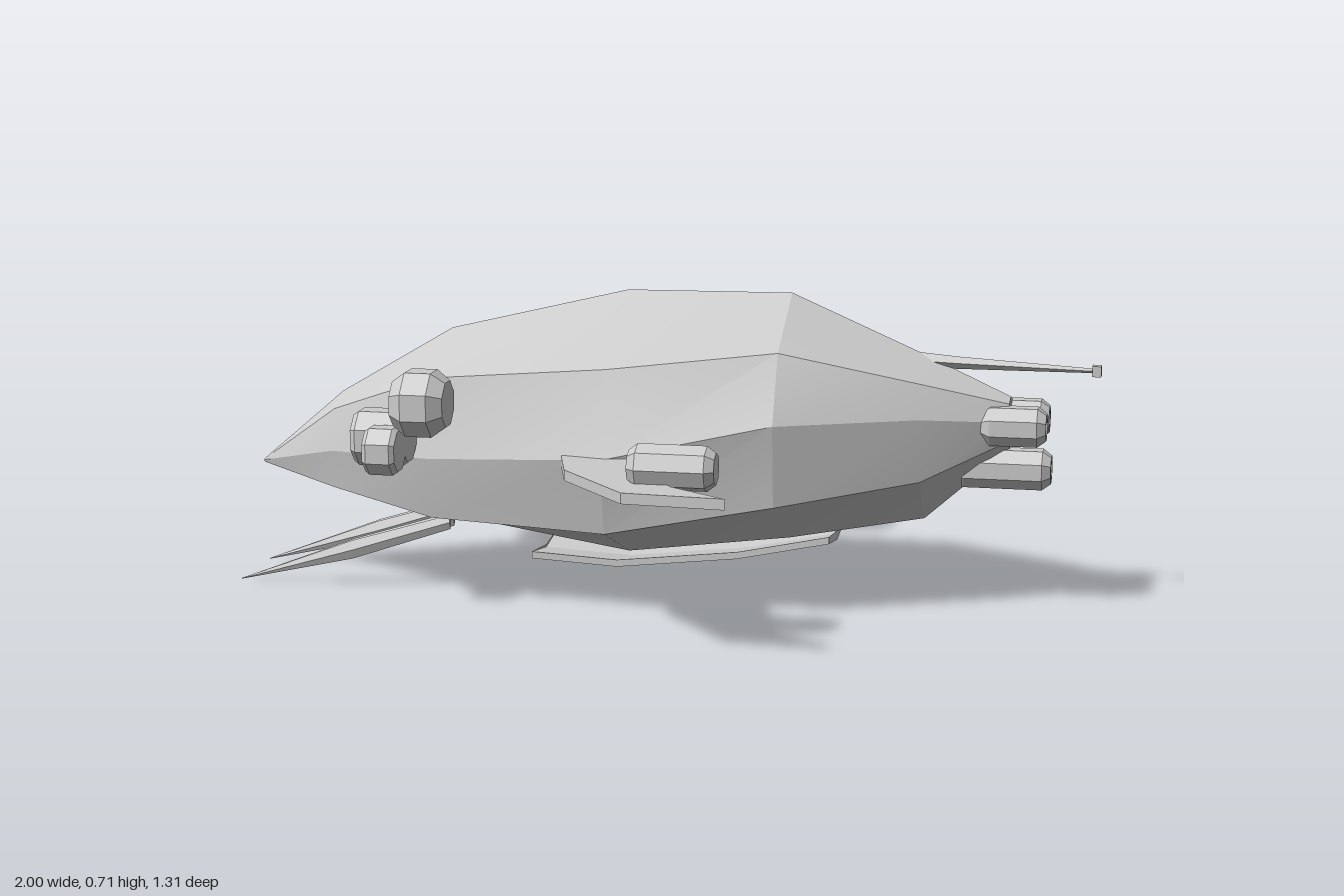
import * as THREE from 'three';
import { toCreasedNormals } from 'three/addons/utils/BufferGeometryUtils.js';

const flat = new THREE.MeshStandardMaterial({ color: 0xcccccc, flatShading: true, side: THREE.DoubleSide });
const creased = new THREE.MeshStandardMaterial({ color: 0xcccccc });

// Joins rings of [x, y, z] points (top -> +z -> bottom -> -z, listed along +x) and caps both ends.
function skin(rings) {
  const n = rings[0].length, pos = [];
  const tri = (a, b, c) => pos.push(...a, ...b, ...c);
  const mid = (ring) => [0, 1, 2].map((k) => ring.reduce((s, p) => s + p[k], 0) / n);
  const first = rings[0], last = rings[rings.length - 1];
  for (let i = 0; i < n; i++) {
    const j = (i + 1) % n;
    for (let s = 0; s < rings.length - 1; s++) {
      const a = rings[s], b = rings[s + 1];
      tri(a[i], a[j], b[i]);
      tri(a[j], b[j], b[i]);
    }
    tri(mid(first), first[j], first[i]);
    tri(mid(last), last[i], last[j]);
  }
  const g = new THREE.BufferGeometry();
  g.setAttribute('position', new THREE.Float32BufferAttribute(pos, 3));
  g.computeVertexNormals();
  return g;
}

function add(parent, name, geometry, material = flat) {
  const mesh = new THREE.Mesh(geometry, material);
  mesh.name = name;
  parent.add(mesh);
  return mesh;
}

// Eight-sided pod along x with chamfered ends; bore > 0 hollows the chosen end.
function pod(parent, name, x0, x1, y, z, r, { chamfer = 0.015, bore = 0, front = false, turn = Math.PI / 8 } = {}) {
  const h = (x1 - x0) / 2;
  const pts = [[0, -h], [r - chamfer, -h], [r, -h + chamfer * 1.3], [r, h - chamfer * 1.3], [r - chamfer, h]];
  if (bore) pts.push([bore, h], [bore * 0.8, h - 0.04]);
  pts.push([0, bore ? h - 0.04 : h]);
  const g = new THREE.LatheGeometry(pts.map((p) => new THREE.Vector2(...p)), 8, turn);
  g.rotateZ(front ? Math.PI / 2 : -Math.PI / 2);
  add(parent, name, g).position.set((x0 + x1) / 2, y, z);
}

// Diamond section centred on a point
const diamond = (x, y, z, ry, rz) => [[x, y + ry, z], [x, y, z + rz], [x, y - ry, z], [x, y, z - rz]];

export function createModel() {
  const ship = new THREE.Group();
  ship.name = 'spaceship';

  // Hull: [x, top y, upper z, upper y, side z, side y, lower z, lower y, bottom y]
  const sections = [
    [-0.97, 0.278, 0.002, 0.277, 0.003, 0.275, 0.002, 0.272, 0.27],
    [-0.77, 0.45, 0.07, 0.42, 0.1, 0.325, 0.085, 0.235, 0.222],
    [-0.5, 0.61, 0.195, 0.525, 0.235, 0.345, 0.2, 0.2, 0.16],
    [-0.08, 0.712, 0.245, 0.568, 0.312, 0.375, 0.27, 0.197, 0.095],
    [0.3, 0.716, 0.2, 0.61, 0.27, 0.458, 0.25, 0.27, 0.145],
    [0.61, 0.582, 0.11, 0.535, 0.14, 0.46, 0.125, 0.315, 0.205],
    [0.8, 0.495, 0.04, 0.485, 0.055, 0.445, 0.045, 0.4, 0.375],
  ];
  const hull = skin(sections.map(([x, t, uz, uy, sz, sy, lz, ly, b]) => [
    [x, t, 0], [x, uy, uz], [x, sy, sz], [x, ly, lz],
    [x, b, 0], [x, ly, -lz], [x, sy, -sz], [x, uy, -uz],
  ]));
  add(ship, 'hull', toCreasedNormals(hull, 0.3), creased);

  // V-shaped belly plate: [x, centre bottom y]
  const plate = [[-0.28, 0.078], [-0.08, 0.068], [0.2, 0.1], [0.41, 0.145]];
  add(ship, 'bellyPlate', skin(plate.map(([x, y]) => [
    [x, y + 0.016, 0], [x, y + 0.038, 0.138], [x, y + 0.022, 0.138],
    [x, y, 0], [x, y + 0.022, -0.138], [x, y + 0.038, -0.138],
  ])));

  // Tail antenna
  add(ship, 'antenna', skin([
    diamond(0.5, 0.575, 0, 0.022, 0.016), diamond(0.68, 0.568, 0, 0.014, 0.011), diamond(0.985, 0.56, 0, 0.005, 0.005),
  ]));
  add(ship, 'antennaTip', new THREE.BoxGeometry(0.02, 0.024, 0.024)).position.set(0.99, 0.56, 0);

  // Lower tail thruster
  pod(ship, 'lowerThruster', 0.68, 0.895, 0.33, 0, 0.048, { bore: 0.022 });

  // Swept wing outline in (x, z)
  const wingShape = new THREE.Shape([
    [-0.18, 0.22], [-0.17, 0.3], [-0.13, 0.44], [0.04, 0.64], [0.265, 0.655],
    [0.13, 0.56], [0.1, 0.5], [0.02, 0.405], [0.1, 0.445], [0.05, 0.3], [0.05, 0.22],
  ].map((p) => new THREE.Vector2(...p)));

  for (const s of [1, -1]) {
    const side = s > 0 ? 'front' : 'back';

    // Wing with its pod
    const wing = new THREE.ExtrudeGeometry(wingShape, { depth: 0.024, bevelEnabled: false });
    wing.rotateX(Math.PI / 2);
    const wingMesh = add(ship, side + 'Wing', wing);
    wingMesh.position.y = s > 0 ? 0.379 : 0.355;
    if (s < 0) wingMesh.rotation.x = Math.PI;
    pod(ship, side + 'WingPod', 0.03, 0.22, 0.41, s * 0.51, 0.05, { turn: 0 });

    // Cluster of nose pods, the lower ones open forward
    pod(ship, side + 'InnerNosePod', -0.655, -0.53, 0.398, s * 0.263, 0.067, { front: true, bore: 0.042, chamfer: 0.01 });
    pod(ship, side + 'OuterNosePod', -0.605, -0.53, 0.385, s * 0.345, 0.057, { front: true, bore: 0.035, chamfer: 0.008 });
    pod(ship, side + 'UpperNosePod', -0.54, -0.418, 0.495, s * 0.34, 0.078, { chamfer: 0.024 });

    // Upper tail thruster
    pod(ship, side + 'UpperThruster', 0.74, 0.885, 0.437, s * 0.05, 0.047, { bore: 0.02 });

    // Forked spike: two blades meeting at the tip
    for (const f of [1, -1]) {
      const blade = [
        [-1, 0.006, 0, 0.001, 0.001],
        [-0.72, 0.093, 0.011, 0.022, 0.009],
        [-0.48, 0.172, 0.018, 0.017, 0.007],
      ].map(([x, y, dz, ry, rz]) => diamond(x, y, s * 0.1 + f * dz, ry, rz));
      add(ship, side + 'Spike', skin(blade));
    }
  }
  return ship;
}
